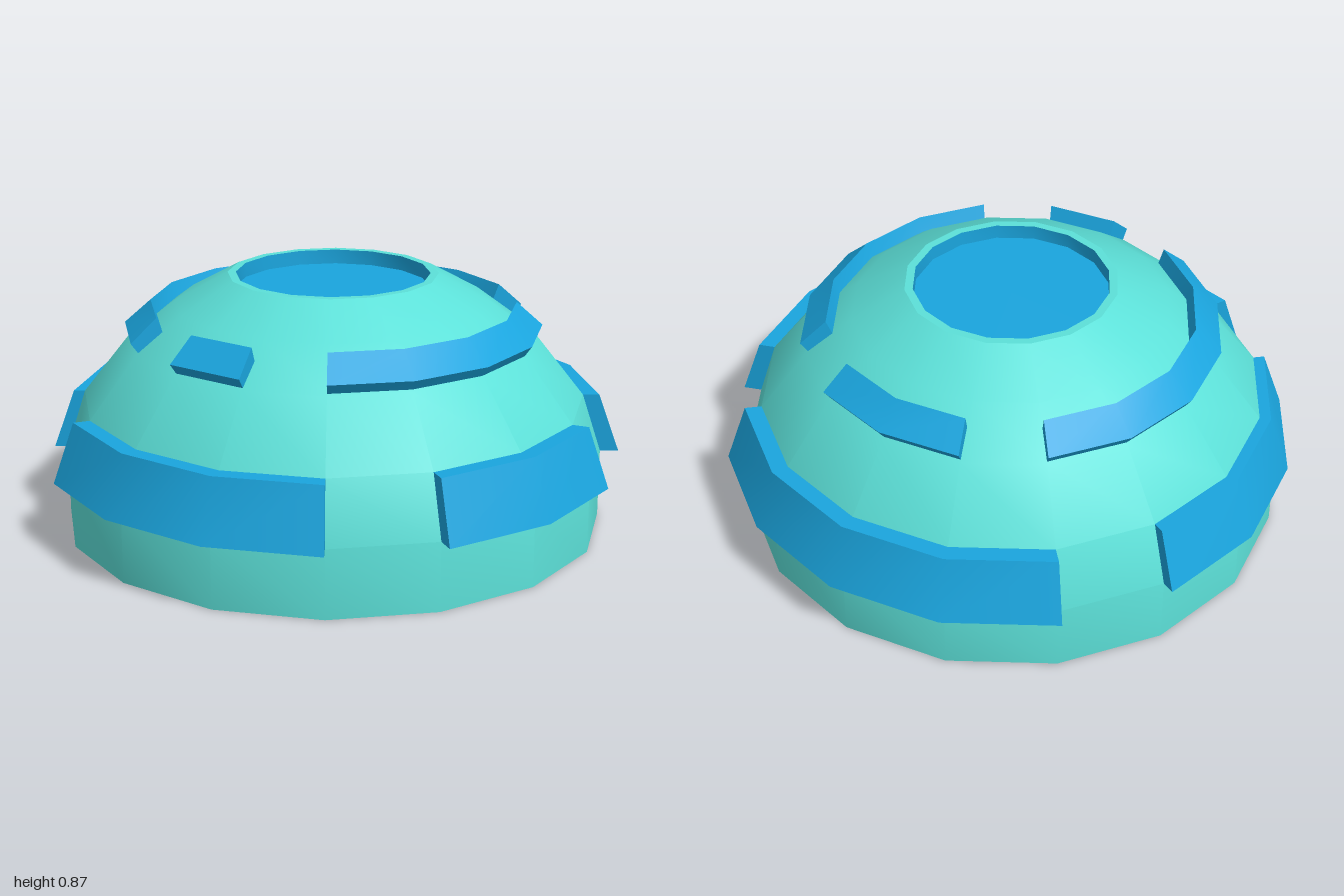
import * as THREE from 'three';
import { toCreasedNormals } from 'three/addons/utils/BufferGeometryUtils.js';

const STEP = Math.PI / 8; // the dome has 16 sides
const CREASE = 0.45;

const teal = new THREE.MeshStandardMaterial({ color: 0x5ce0d8 });
const blue = new THREE.MeshStandardMaterial({ color: 0x1aa5de });

const toPoints = (list) => list.map(([r, y]) => new THREE.Vector2(r, y));

function lathe(name, profile, material) {
  const geo = toCreasedNormals(new THREE.LatheGeometry(toPoints(profile), 16), CREASE);
  const mesh = new THREE.Mesh(geo, material);
  mesh.name = name;
  return mesh;
}

// Sweeps a four-cornered section (counter-clockwise in radius, height)
// from side `start` to side `end`, and closes both ends.
function panel(name, section, start, end) {
  const pos = [];
  const at = ([r, y], i) => [r * Math.sin(i * STEP), y, r * Math.cos(i * STEP)];
  const quad = (a, b, c, d) => pos.push(...a, ...b, ...c, ...a, ...c, ...d);
  for (let i = start; i < end; i++) {
    section.forEach((p, k) => {
      const q = section[(k + 1) % section.length];
      quad(at(p, i), at(p, i + 1), at(q, i + 1), at(q, i));
    });
  }
  quad(...section.map((p) => at(p, start)));
  quad(...section.map((p) => at(p, end)).reverse());
  const geo = new THREE.BufferGeometry();
  geo.setAttribute('position', new THREE.Float32BufferAttribute(pos, 3));
  const mesh = new THREE.Mesh(toCreasedNormals(geo, CREASE), blue);
  mesh.name = name;
  return mesh;
}

export function createModel() {
  const model = new THREE.Group();
  model.name = 'panelledDome';

  // Dome body with closed underside and a narrow rim round the top opening
  model.add(lathe('dome', [
    [0, 0], [0.932, 0], [0.932, 0.235], [0.865, 0.44], [0.7, 0.65],
    [0.54, 0.77], [0.36, 0.87], [0.332, 0.87],
  ], teal));

  // Shallow recess in the top
  model.add(lathe('topRecess', [[0.332, 0.87], [0.332, 0.82], [0, 0.82]], blue));

  // Lower ring of raised panels: start side, end side, outer inset
  const lower = [[-3, 0, 0], [1, 3, 0], [4, 8, 0], [9, 12, 0.018]];
  for (const [a, b, inset] of lower) {
    const section = [[0.91, 0.235], [0.996 - inset, 0.235], [0.922 - inset, 0.44], [0.845, 0.44]];
    model.add(panel('lowerPanel', section, a, b));
  }

  // Upper ring of thinner panels, tilted with the slope
  const upperSection = [[0.685, 0.645], [0.717, 0.69], [0.627, 0.77], [0.605, 0.715]];
  for (const [a, b] of [[0, 4], [5, 7], [8, 13], [14, 15]]) {
    model.add(panel('upperPanel', upperSection, a, b));
  }

  model.children.forEach((part) => { part.position.x = -0.008; });
  return model;
}
